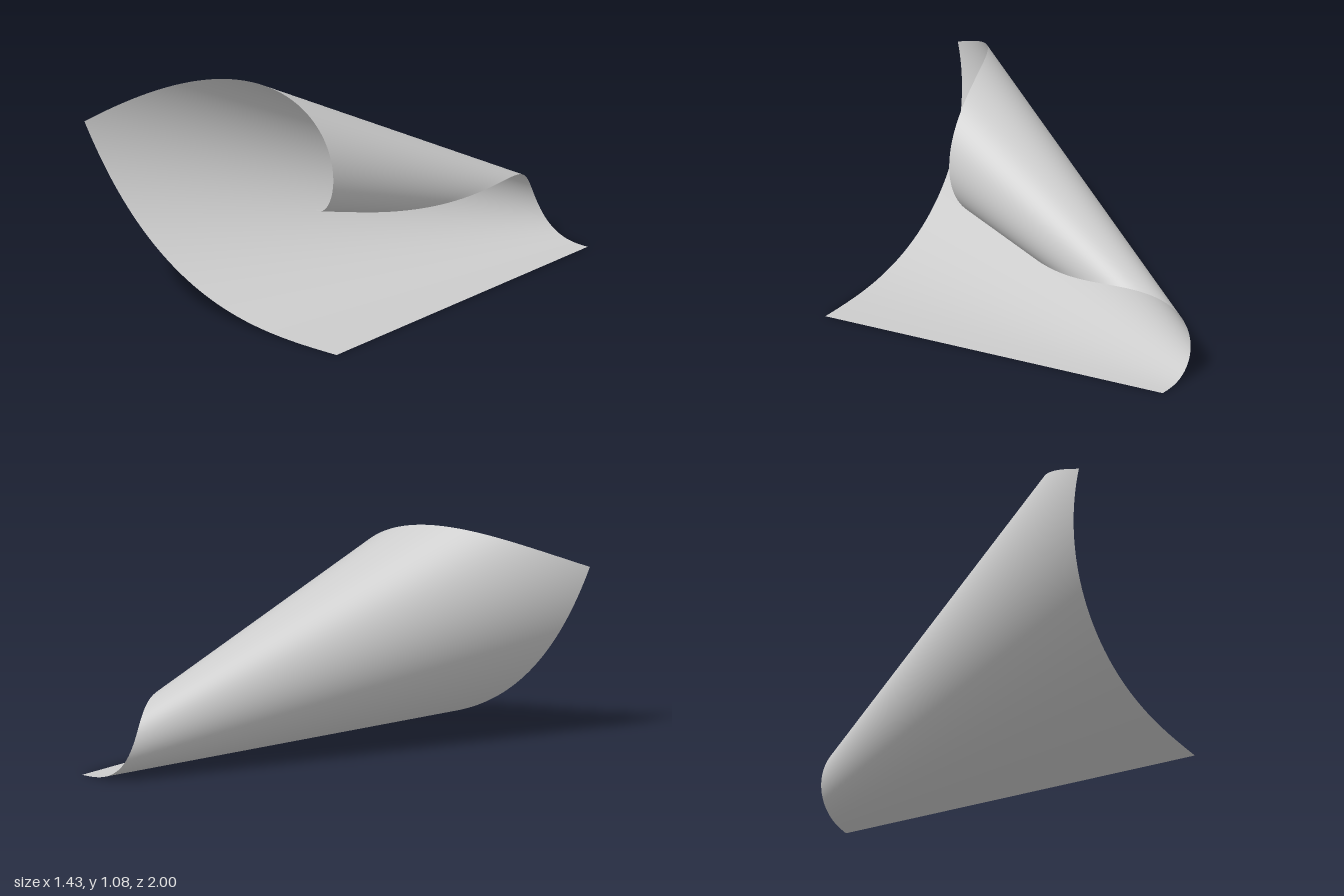
import * as THREE from 'three';

// A square sheet of paper rolled into a cone whose tip lies behind one corner.
const NEAR = 0.48, SIDE = 1.865, FAR = NEAR + SIDE;
const TIP = new THREE.Vector3(0.72, 0, -1 - NEAR);
const SPAN = Math.atan2(SIDE, NEAR);
const TURN = THREE.MathUtils.degToRad(355);
const SEGMENTS = 90, STEPS = 2000;

// Directions of the cone's straight lines, at equal angles across the unrolled sheet.
// They start flat and tighten steadily into a spiral, with TURN as the whole bend.
function makeRulings() {
  const dir = new THREE.Vector3(0, 0, 1);
  const tangent = new THREE.Vector3(-1, 0, 0);
  const normal = new THREE.Vector3(0, 1, 0);
  const step = SPAN / STEPS;
  const rulings = [dir.clone()];
  for (let i = 0; i < STEPS; i++) {
    const bend = 2 * TURN * (i + 0.5) / STEPS ** 2;
    tangent.applyAxisAngle(dir, -bend / 2);
    normal.applyAxisAngle(dir, -bend / 2);
    dir.applyAxisAngle(normal, -step);
    tangent.applyAxisAngle(normal, -step);
    tangent.applyAxisAngle(dir, -bend / 2);
    normal.applyAxisAngle(dir, -bend / 2);
    rulings.push(dir.clone());
  }
  return rulings;
}

export function createModel() {
  const group = new THREE.Group();
  group.name = 'curledSheet';

  // Roll a flat grid: keep each point's distance from the tip, bend its angle.
  const rulings = makeRulings();
  const geometry = new THREE.PlaneGeometry(SIDE, SIDE, SEGMENTS, SEGMENTS);
  const pos = geometry.attributes.position;
  for (let i = 0; i < pos.count; i++) {
    const across = SIDE / 2 - pos.getX(i);
    const along = (NEAR + FAR) / 2 - pos.getY(i);
    const place = Math.max(0, Math.atan2(across, along) / SPAN * STEPS);
    const k = Math.min(STEPS - 1, Math.floor(place));
    const p = rulings[k].clone().lerp(rulings[k + 1], place - k)
      .multiplyScalar(Math.hypot(across, along)).add(TIP);
    pos.setXYZ(i, p.x, p.y, p.z);
  }
  geometry.computeVertexNormals();

  const sheet = new THREE.Mesh(geometry,
    new THREE.MeshStandardMaterial({ color: 0xcccccc, side: THREE.DoubleSide }));
  sheet.name = 'sheet';
  group.add(sheet);
  return group;
}
